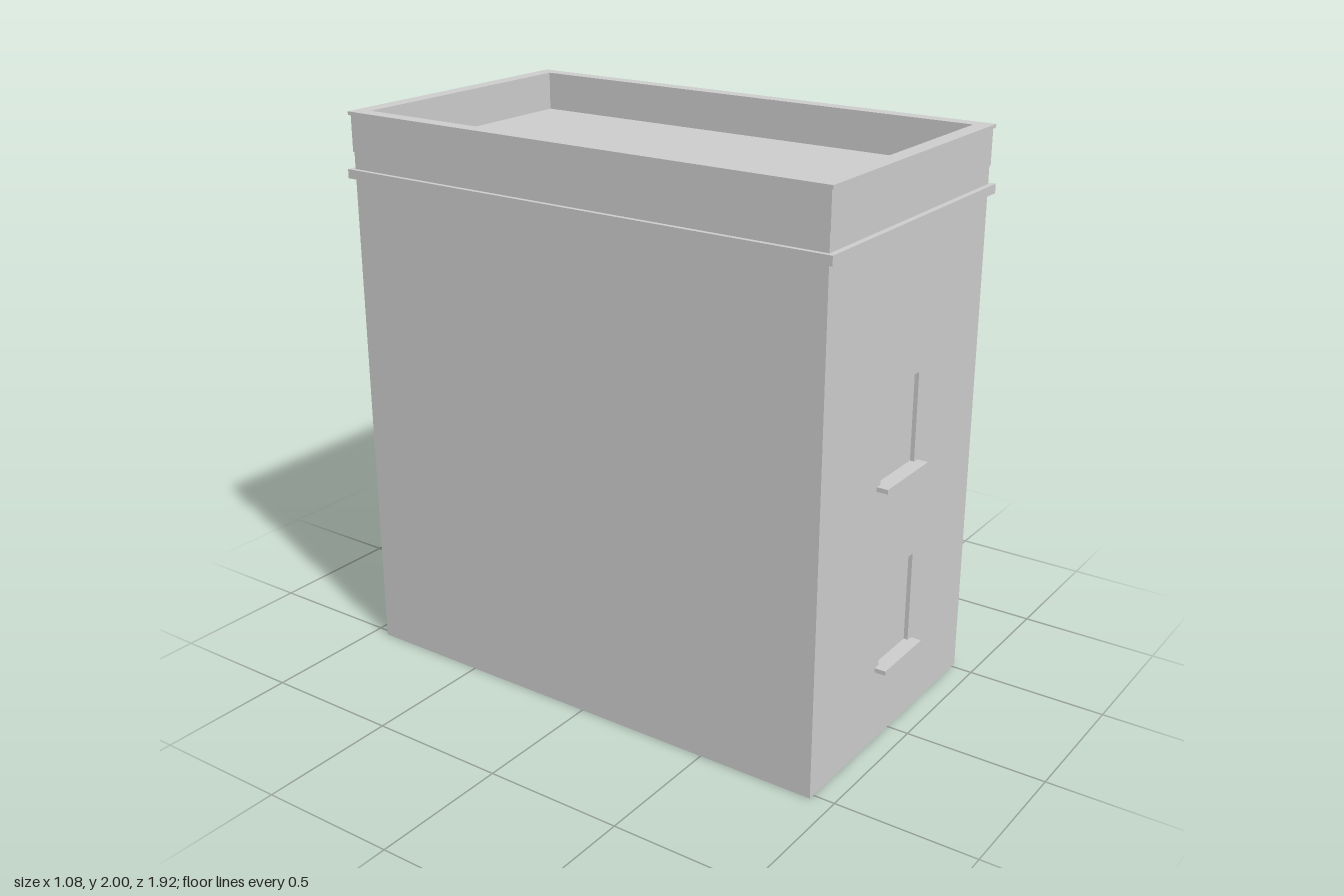
import * as THREE from 'three';

const CZ = -0.01; // depth centre of the building, offset by the front sills

export function createModel() {
  const group = new THREE.Group();
  const plaster = new THREE.MeshStandardMaterial({ color: 0xcccccc });
  plaster.name = 'grey plaster';

  const add = (name, geometry) => {
    const mesh = new THREE.Mesh(geometry, plaster);
    mesh.name = name;
    group.add(mesh);
    return mesh;
  };
  const box = (name, x0, x1, y0, y1, z0, z1) =>
    add(name, new THREE.BoxGeometry(x1 - x0, y1 - y0, z1 - z0))
      .position.set((x0 + x1) / 2, (y0 + y1) / 2, (z0 + z1) / 2);

  // Rectangle outline as points
  const rect = (x0, x1, y0, y1) => [[x0, y0], [x1, y0], [x1, y1], [x0, y1]]
    .map(([x, y]) => new THREE.Vector2(x, y));

  // Horizontal rectangular ring: outer and inner half sizes, bottom and top height
  const ring = (name, ox, oz, ix, iz, y0, y1) => {
    const shape = new THREE.Shape(rect(-ox, ox, -oz, oz));
    shape.holes.push(new THREE.Path(rect(-ix, ix, -iz, iz)));
    const geometry = new THREE.ExtrudeGeometry(shape, { depth: y1 - y0, bevelEnabled: false });
    geometry.rotateX(-Math.PI / 2).translate(0, y0, CZ);
    add(name, geometry);
  };

  const W = 0.522, front = 0.922, back = -0.942, roofY = 1.862, recess = 0.015;

  // Main block, its top being the sunken flat roof
  box('body', -W, W, 0, roofY, back, front - recess);

  // Front wall skin with shallow blind windows
  const windows = [
    { x0: -0.14, x1: 0.09, y0: 0.95, y1: 1.27 },
    { x0: -0.09, x1: 0.12, y0: 0.275, y1: 0.612 },
  ];
  const wall = new THREE.Shape(rect(-W, W, 0, roofY));
  for (const w of windows) wall.holes.push(new THREE.Path(rect(w.x0, w.x1, w.y0, w.y1)));
  add('frontWall', new THREE.ExtrudeGeometry(wall, { depth: recess, bevelEnabled: false }))
    .position.z = front - recess;

  // Projecting sills
  for (const w of windows) {
    box('windowSill', w.x0 - 0.025, w.x1 + 0.023, w.y0 - 0.008, w.y0 + 0.008, front - recess, 0.962);
  }

  // String course, parapet and thin coping
  ring('stringCourse', 0.538, 0.952, 0.5, 0.9, 1.77, 1.802);
  ring('parapet', 0.525, 0.935, 0.478, 0.885, roofY, 1.988);
  ring('coping', 0.531, 0.942, 0.478, 0.885, 1.988, 2);

  return group;
}
